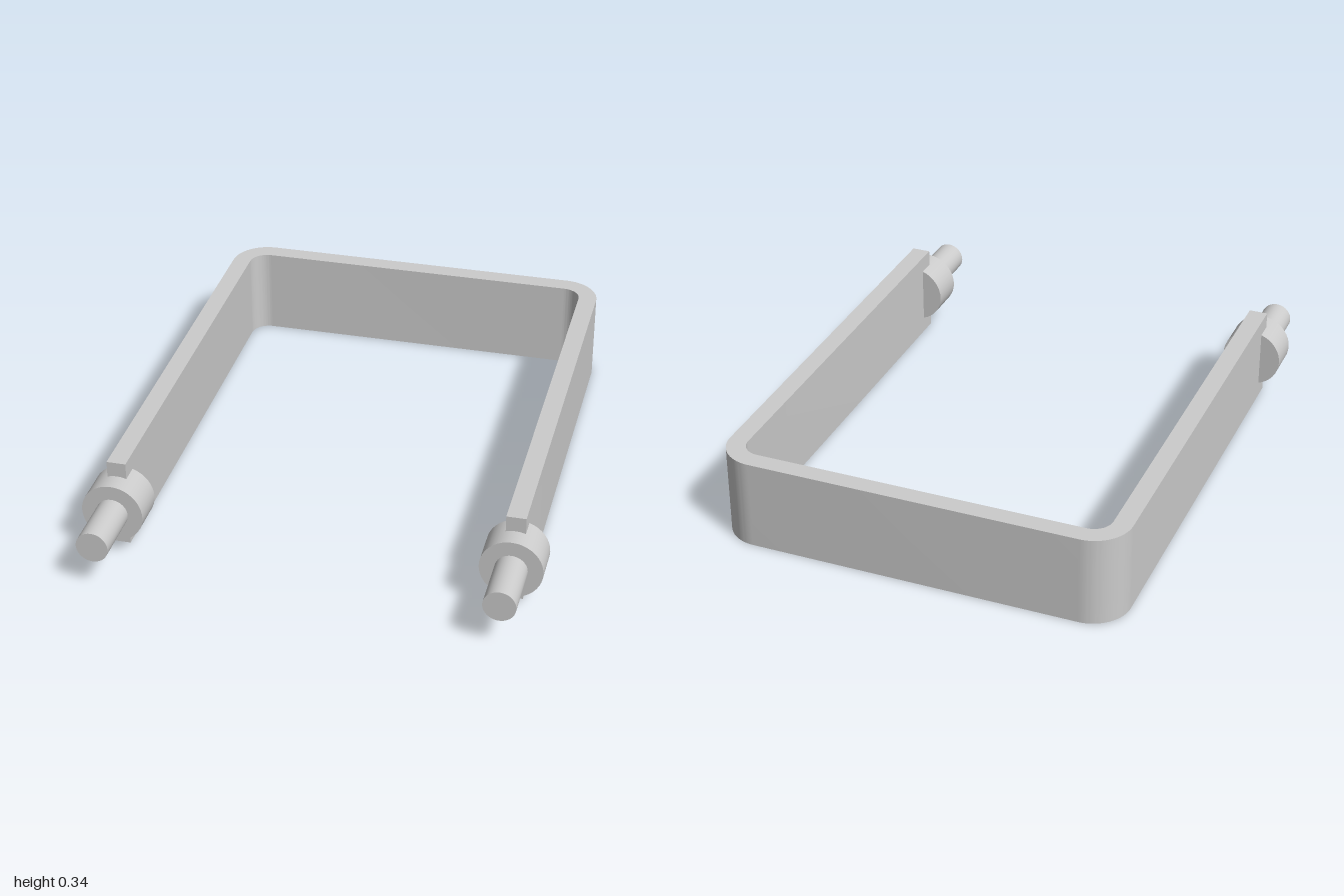
import * as THREE from 'three';
import { toCreasedNormals } from 'three/addons/utils/BufferGeometryUtils.js';

const material = new THREE.MeshStandardMaterial({ color: 0xcccccc });

// Flat bar bent into a U, open towards +z (shape y is world -z)
function strap() {
  const outer = 0.75, inner = 0.68, back = 1, thick = 0.07, end = -0.715;
  const R = 0.14, r = R - thick, cx = outer - R, cy = back - R;
  const s = new THREE.Shape();
  s.moveTo(outer, end);
  s.lineTo(outer, cy);
  s.absarc(cx, cy, R, 0, Math.PI / 2, false);
  s.lineTo(-cx, back);
  s.absarc(-cx, cy, R, Math.PI / 2, Math.PI, false);
  s.lineTo(-outer, end);
  s.lineTo(-inner, end);
  s.lineTo(-inner, cy);
  s.absarc(-cx, cy, r, Math.PI, Math.PI / 2, true);
  s.lineTo(cx, back - thick);
  s.absarc(cx, cy, r, Math.PI / 2, 0, true);
  s.lineTo(inner, end);
  s.closePath();
  const geo = new THREE.ExtrudeGeometry(s, { depth: 0.335, bevelEnabled: false, curveSegments: 14 });
  geo.rotateX(-Math.PI / 2);
  const mesh = new THREE.Mesh(toCreasedNormals(geo, Math.PI / 6), material);
  mesh.name = 'bentStrap';
  return mesh;
}

// Round part lying along z between two depths
function rod(name, radius, z0, z1) {
  const geo = new THREE.CylinderGeometry(radius, radius, z1 - z0, 40);
  geo.rotateX(Math.PI / 2);
  const mesh = new THREE.Mesh(geo, material);
  mesh.name = name;
  mesh.position.z = (z0 + z1) / 2;
  return mesh;
}

export function createModel() {
  const model = new THREE.Group();
  model.name = 'mountingBracket';
  model.add(strap());

  // Collar and pin at the tip of each arm
  for (const [side, name] of [[1, 'leftEnd'], [-1, 'rightEnd']]) {
    const end = new THREE.Group();
    end.name = name;
    end.position.set(side * 0.715, 0.1675, 0);
    end.add(rod('collar', 0.112, 0.647, 0.785), rod('pin', 0.058, 0.785, 1));
    model.add(end);
  }
  return model;
}
